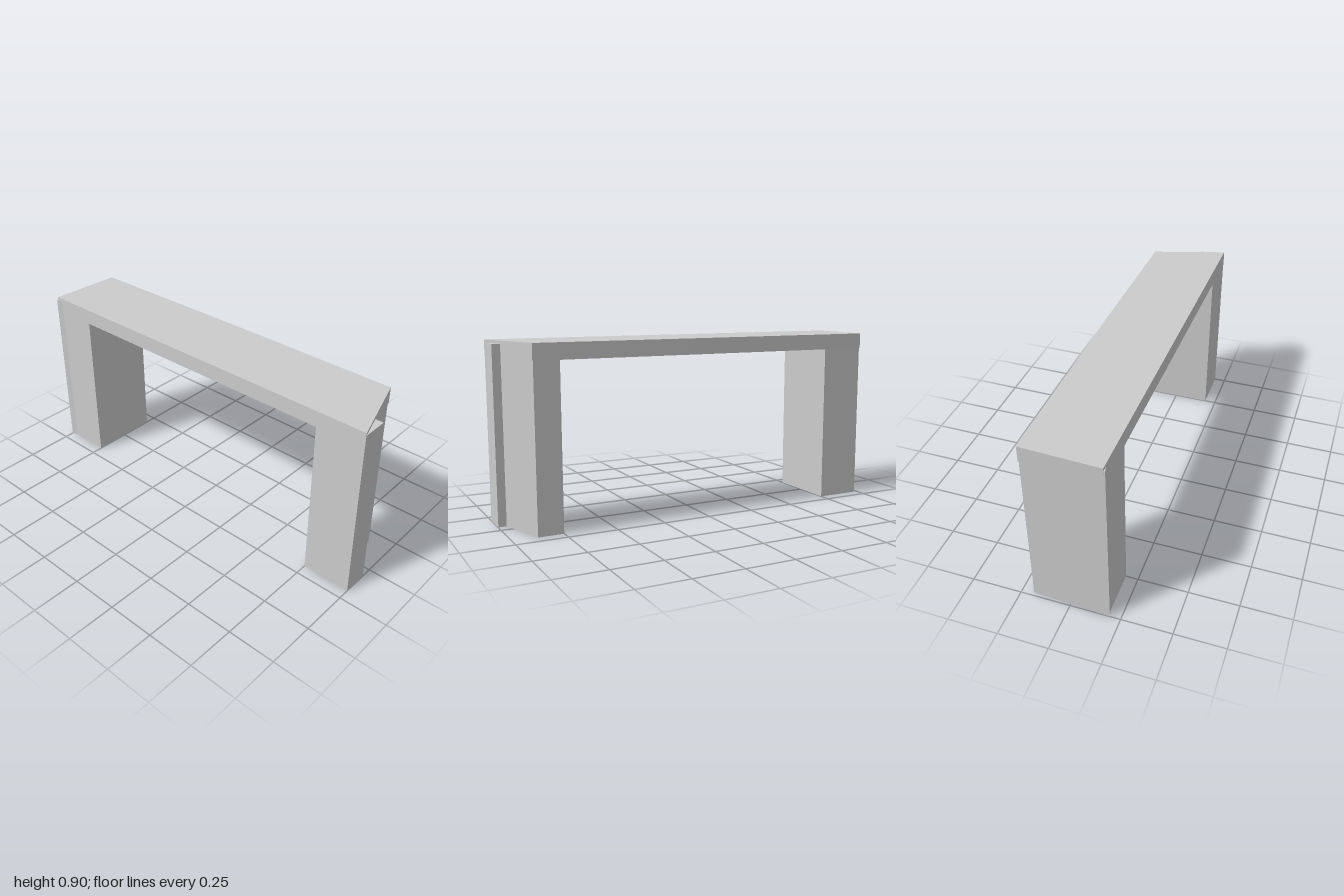
import * as THREE from 'three';

const material = new THREE.MeshStandardMaterial({ color: 0xcccccc, flatShading: true });

// Upright prism from a plan outline of [x, z] points between two heights
function prism(name, plan, bottom, top) {
  const shape = new THREE.Shape(plan.map(([x, z]) => new THREE.Vector2(x, -z)));
  const geometry = new THREE.ExtrudeGeometry(shape, { depth: top - bottom, bevelEnabled: false });
  geometry.rotateX(-Math.PI / 2);
  geometry.translate(0, bottom, 0);
  const mesh = new THREE.Mesh(geometry, material);
  mesh.name = name;
  return mesh;
}

export function createModel() {
  const group = new THREE.Group();
  group.name = 'bench';

  // Seat slab with one slanted end and a very slightly bowed back edge
  group.add(prism('seat', [
    [-1, 0.19], [1, 0.19], [0.88, -0.193], [0.4, -0.196], [0.1, -0.198], [-0.35, -0.197], [-0.985, -0.193],
  ], 0.82, 0.9));

  // Left leg: slanted outer side with a square step at the front corner
  group.add(prism('leftLeg', [
    [0.75, 0.189], [0.999, 0.189], [0.999, 0.055], [0.958, 0.055], [0.877, -0.19], [0.75, -0.19],
  ], 0, 0.885));

  // Right leg: nearly rectangular, its outer front corner kicked forward
  group.add(prism('rightLeg', [
    [-1, 0.198], [-0.965, 0.189], [-0.75, 0.189], [-0.75, -0.19], [-0.982, -0.19],
  ], 0, 0.885));

  return group;
}
